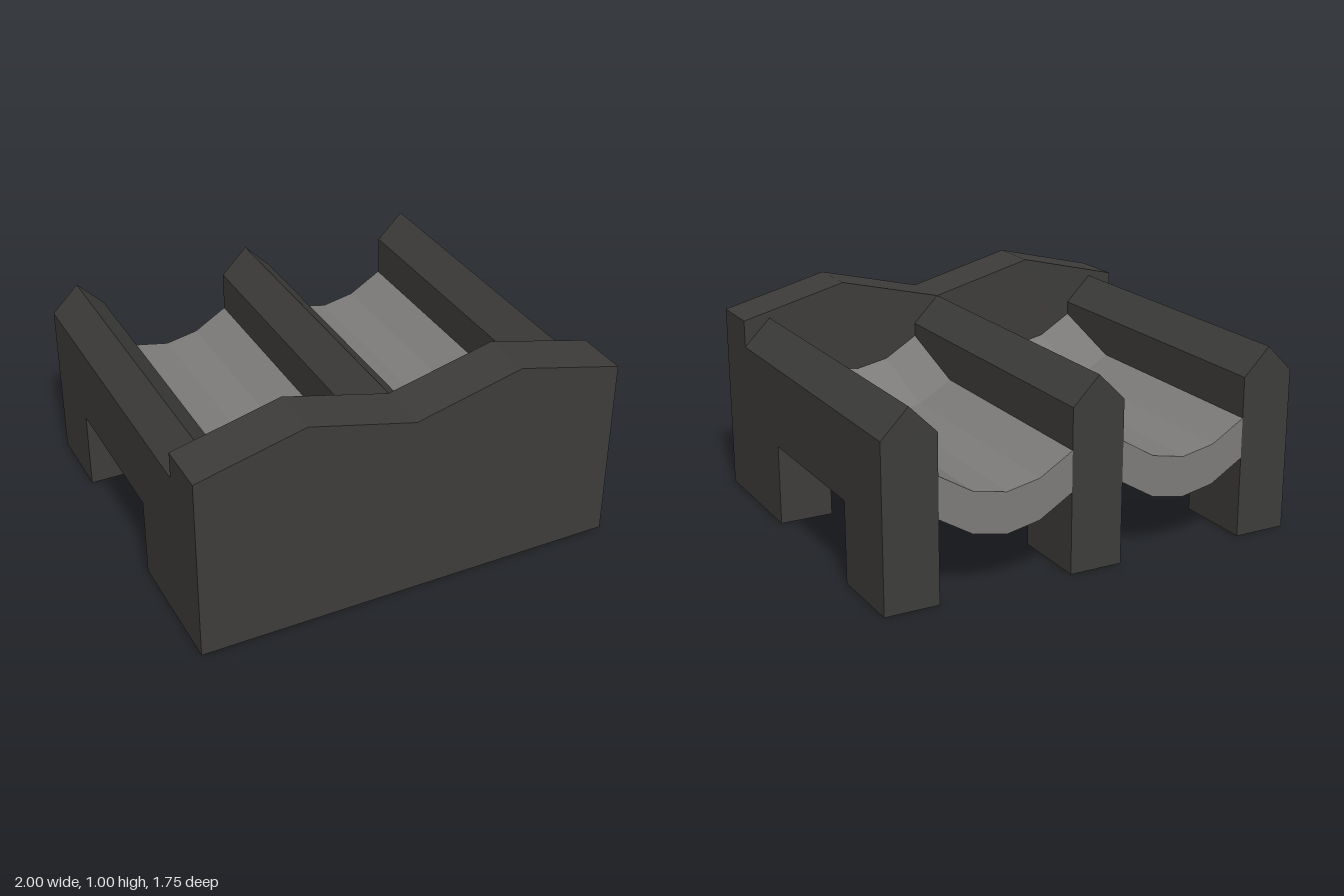
import * as THREE from 'three';

const DARK = 0x3d3c3a, LIGHT = 0x7d7c7a;
const BACK = -0.875, WALL = 0.625, FRONT = 0.875; // z stations
const RAMP = 0.25; // z where the trough floor starts to climb

function extrude(points, depth) {
  const shape = new THREE.Shape(points.map(([x, y]) => new THREE.Vector2(x, y)));
  return new THREE.ExtrudeGeometry(shape, { depth, bevelEnabled: false });
}

function mesh(name, geometry, color) {
  const material = new THREE.MeshStandardMaterial({ color, flatShading: true });
  const m = new THREE.Mesh(geometry, material);
  m.name = name;
  return m;
}

// Divider: notched side panel with two legs and a pitched cap
function createDivider(name, x) {
  const divider = new THREE.Group();
  divider.name = name;
  const panel = extrude([
    [BACK, 0], [-0.5, 0], [-0.5, 0.375], [RAMP, 0.375],
    [RAMP, 0], [WALL, 0], [WALL, 0.75], [BACK, 0.75],
  ], 0.25);
  panel.rotateY(-Math.PI / 2).translate(0.125, 0, 0);
  const cap = extrude([[-0.125, 0.75], [0.125, 0.75], [0, 0.875]], WALL - BACK);
  cap.translate(0, 0, BACK);
  divider.add(mesh('panel', panel, DARK), mesh('cap', cap, DARK));
  divider.position.x = x;
  return divider;
}

// Trough: sagging slab whose top face climbs towards the front wall
function createTrough(name, x) {
  const half = 0.3125, segments = 4;
  const sag = (px) => 0.25 + 0.125 * (px / half) ** 2;
  const bottom = [], top = [];
  for (let i = 0; i <= segments; i++) {
    const px = -half + (2 * half * i) / segments;
    bottom.push([px, sag(px)]);
    top.unshift([px, sag(px) + 0.1875]);
  }
  const profile = [...bottom, ...top];

  const floor = extrude(profile, RAMP - BACK).translate(0, 0, BACK);
  const ramp = extrude(profile, WALL - RAMP).translate(0, 0, RAMP);
  const p = ramp.attributes.position;
  for (let i = 0; i < p.count; i++) {
    const isTop = p.getY(i) > sag(p.getX(i)) + 0.1;
    if (isTop && p.getZ(i) > WALL - 0.01) p.setY(i, p.getY(i) + 0.125);
  }
  ramp.computeVertexNormals();

  const trough = new THREE.Group();
  trough.name = name;
  trough.add(mesh('troughFloor', floor, LIGHT), mesh('troughRamp', ramp, LIGHT));
  trough.position.x = x;
  return trough;
}

export function createModel() {
  const model = new THREE.Group();
  model.name = 'doubleTrough';

  // Front wall with two gables
  const wall = extrude([
    [-1, 0], [1, 0], [1, 0.875], [0.5, 1], [0, 0.875], [-0.5, 1], [-1, 0.875],
  ], FRONT - WALL).translate(0, 0, WALL);
  model.add(mesh('frontWall', wall, DARK));

  model.add(
    createDivider('rightDivider', -0.875),
    createDivider('middleDivider', 0),
    createDivider('leftDivider', 0.875),
    createTrough('rightTrough', -0.4375),
    createTrough('leftTrough', 0.4375),
  );
  return model;
}
